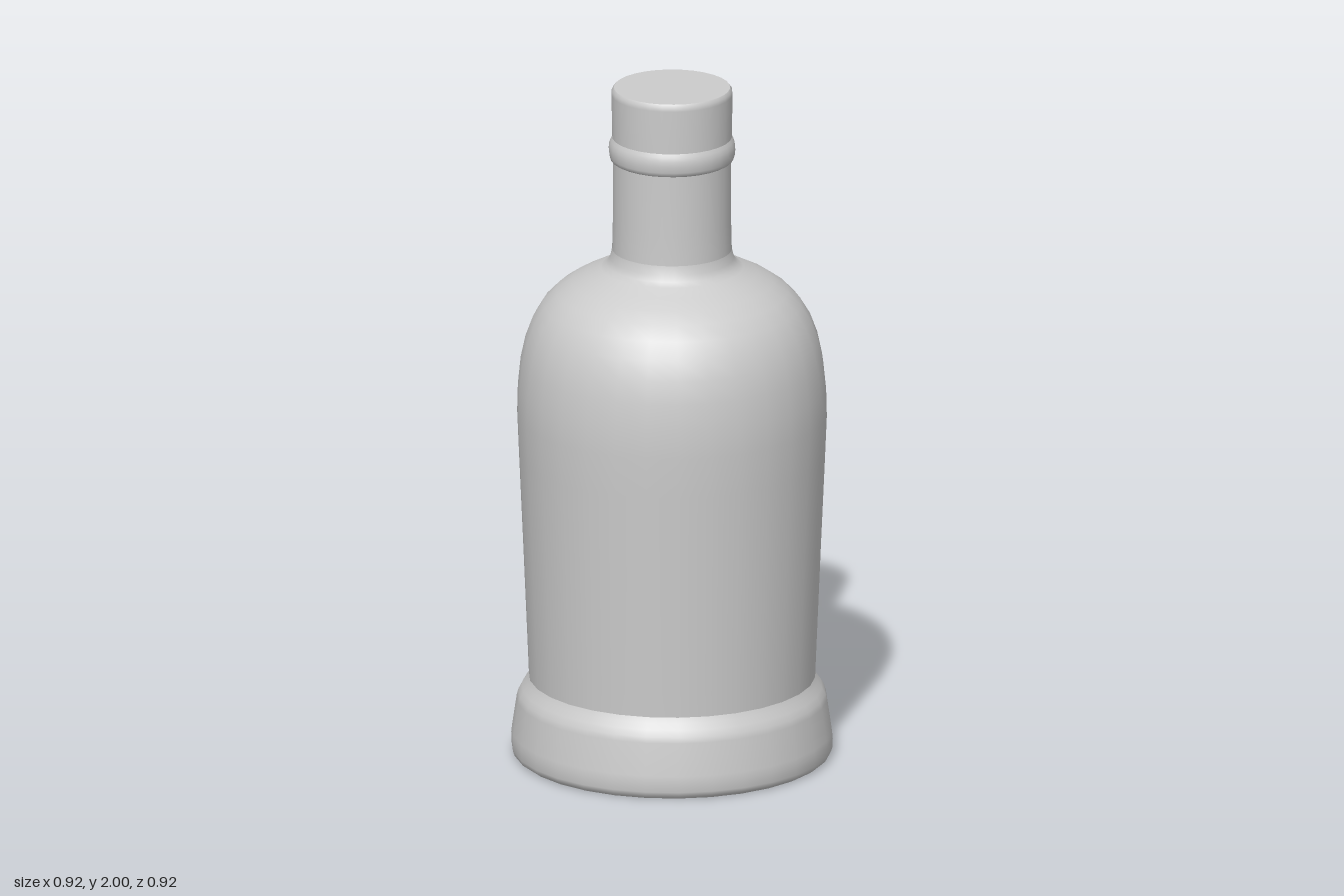
import * as THREE from 'three';

const SIDES = 30;

export function createModel() {
  const group = new THREE.Group();
  group.name = 'bottle';
  const material = new THREE.MeshStandardMaterial({ color: 0xcccccc });

  // Turns a list of [radius, height] points, from bottom to top, round the y axis
  const turn = (name, profile) => {
    const points = profile.map(([r, y]) => new THREE.Vector2(r, y));
    const mesh = new THREE.Mesh(new THREE.LatheGeometry(points, SIDES, Math.PI / 2), material);
    mesh.name = name;
    group.add(mesh);
  };

  // Flat underside and flared foot
  turn('underside', [[0, 0], [0.445, 0]]);
  turn('foot', [
    [0.445, 0], [0.456, 0.008], [0.461, 0.022], [0.462, 0.05], [0.46, 0.07],
    [0.446, 0.165], [0.441, 0.182], [0.431, 0.2], [0.419, 0.217], [0.411, 0.233],
  ]);

  // Body widening upward, then a domed shoulder
  turn('body', [
    [0.411, 0.225], [0.414, 0.3], [0.428, 0.63], [0.44, 0.9], [0.445, 1.02],
    [0.443, 1.1], [0.435, 1.18], [0.421, 1.245], [0.4, 1.302], [0.371, 1.35],
    [0.334, 1.388], [0.29, 1.418], [0.245, 1.441], [0.205, 1.46],
    [0.189, 1.472], [0.178, 1.489], [0.172, 1.515],
  ]);

  // Neck and rounded collar ring
  turn('neck', [[0.172, 1.515], [0.17, 1.6], [0.17, 1.785]]);
  turn('collar', [
    [0.169, 1.782], [0.176, 1.786], [0.18, 1.797], [0.182, 1.815],
    [0.181, 1.83], [0.177, 1.842], [0.172, 1.852],
  ]);

  // Stopper with a small rounded rim and flat top
  turn('stopper', [[0.172, 1.85], [0.174, 1.98], [0.173, 1.992], [0.167, 2]]);
  turn('stopperTop', [[0.167, 2], [0, 2]]);

  return group;
}
